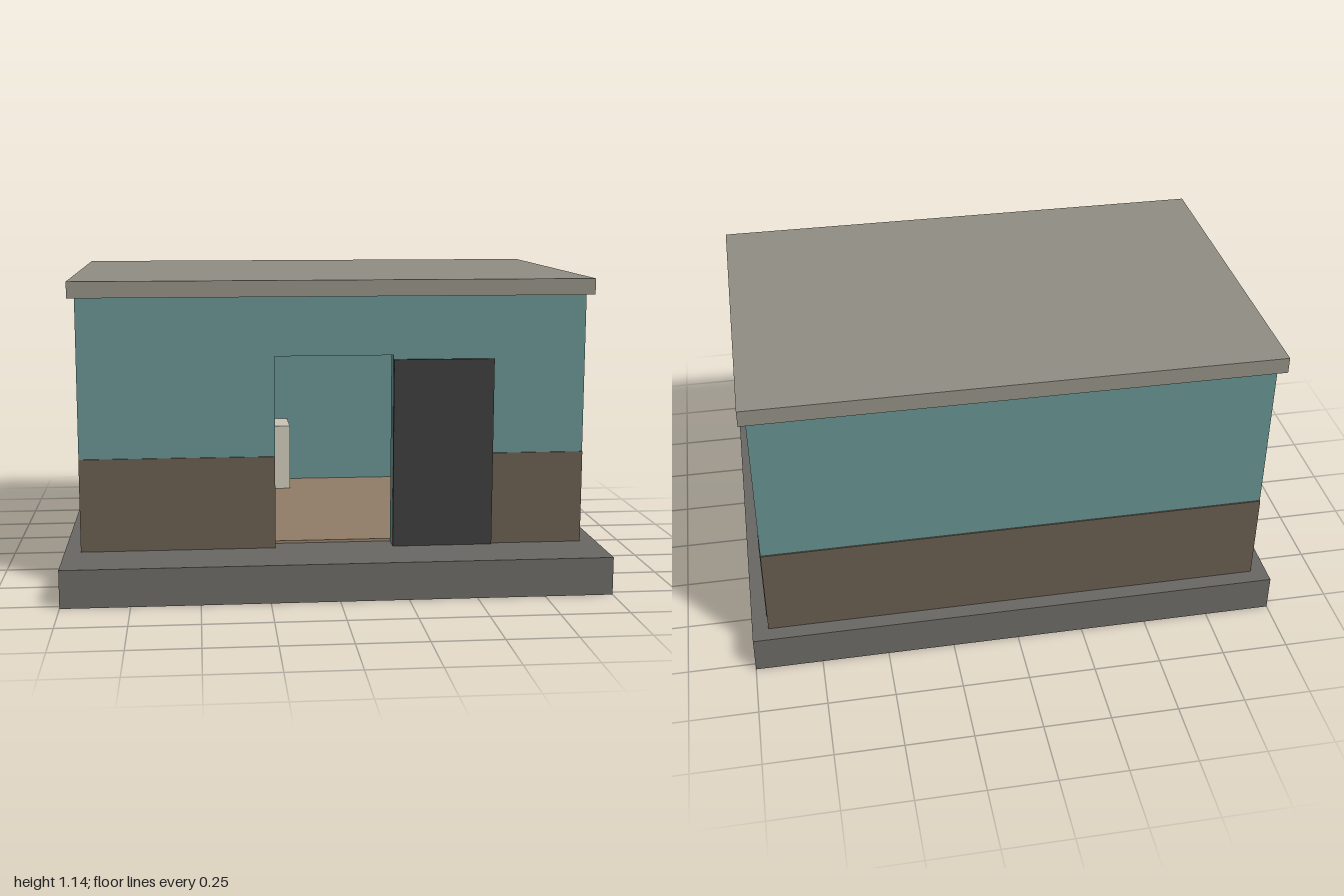
import * as THREE from 'three';

const mat = (color) => new THREE.MeshStandardMaterial({ color });
const concrete = mat(0x696763);
const roofGrey = mat(0x8f8c82);
const teal = mat(0x648e8c);
const brown = mat(0x655a4d);
const charcoal = mat(0x3b3b3b);
const tan = mat(0x8f7c68);
const cream = mat(0xc8c3b4);

const FLOOR = 0.14, EAVES = 1.08;       // wall bottom and top
const X = 0.94, FRONT = 0.53, BACK = -0.715;
const T = 0.06;                         // wall thickness

export function createModel() {
  const model = new THREE.Group();

  // Box given by its minimum and maximum on each axis
  const box = (name, material, [x0, x1], [y0, y1], [z0, z1]) => {
    const mesh = new THREE.Mesh(new THREE.BoxGeometry(x1 - x0, y1 - y0, z1 - z0), material);
    mesh.position.set((x0 + x1) / 2, (y0 + y1) / 2, (z0 + z1) / 2);
    mesh.name = name;
    model.add(mesh);
  };

  const outline = (points, Type = THREE.Shape) =>
    new Type(points.map(([a, b]) => new THREE.Vector2(a, b)));

  const wall = (name, shape) => {
    const geometry = new THREE.ExtrudeGeometry(shape, { depth: T, bevelEnabled: false });
    const mesh = new THREE.Mesh(geometry, teal);
    mesh.name = name;
    model.add(mesh);
    return mesh;
  };

  // Base slab, inner floor and flat roof
  box('baseSlab', concrete, [-1, 1], [0, FLOOR], [-0.78, 0.78]);
  box('innerFloor', tan, [-X + T, X - T], [FLOOR, 0.15], [BACK + T, FRONT - T]);
  box('roof', roofGrey, [-0.965, 0.965], [EAVES, 1.14], [-0.75, 0.56]);

  // Front wall with the doorway cut up from the floor
  wall('frontWall', outline([
    [-X, FLOOR], [-0.22, FLOOR], [-0.22, 0.86], [0.22, 0.86],
    [0.22, FLOOR], [X, FLOOR], [X, EAVES], [-X, EAVES],
  ])).position.z = FRONT - T;

  // Plain back wall
  box('backWall', teal, [-X, X], [FLOOR, EAVES], [BACK, BACK + T]);

  // Side walls, each with a window; shape x runs along -z
  for (const [side, s] of [['left', 1], ['right', -1]]) {
    const shape = outline([
      [-FRONT + T, FLOOR], [-BACK - T, FLOOR], [-BACK - T, EAVES], [-FRONT + T, EAVES],
    ]);
    shape.holes.push(outline([[-0.11, 0.48], [-0.11, 0.83], [0.295, 0.83], [0.295, 0.48]], THREE.Path));
    const mesh = wall(side + 'Wall', shape);
    mesh.rotation.y = Math.PI / 2;
    mesh.position.x = s > 0 ? X - T : -X;

    // Thin cladding on the lower part of the side and front walls
    const outer = s * (X + 0.004);
    box(side + 'Cladding', brown,
      [Math.min(s * X, outer), Math.max(s * X, outer)], [FLOOR, 0.487], [-0.65, 0.47]);
    box(side + 'FrontCladding', brown,
      s > 0 ? [0.22, X] : [-X, -0.22], [FLOOR, 0.487], [FRONT, FRONT + 0.005]);
  }
  box('backCladding', brown, [-X, X], [FLOOR, 0.487], [BACK - 0.005, BACK]);

  // Sliding door, standing open in front of the wall
  box('slidingDoor', charcoal, [0.22, 0.595], [FLOOR, 0.845], [0.537, 0.549]);

  // Crates along the back of the room
  box('smallCrate', cream, [-0.73, -0.6], [0.15, 0.27], [-0.65, -0.486]);
  box('lowerCrate', cream, [-0.3, -0.1], [0.15, 0.27], [-0.65, -0.45]);
  box('upperCrate', cream, [-0.3, -0.1], [0.27, 0.43], [-0.65, -0.45]);

  return model;
}
